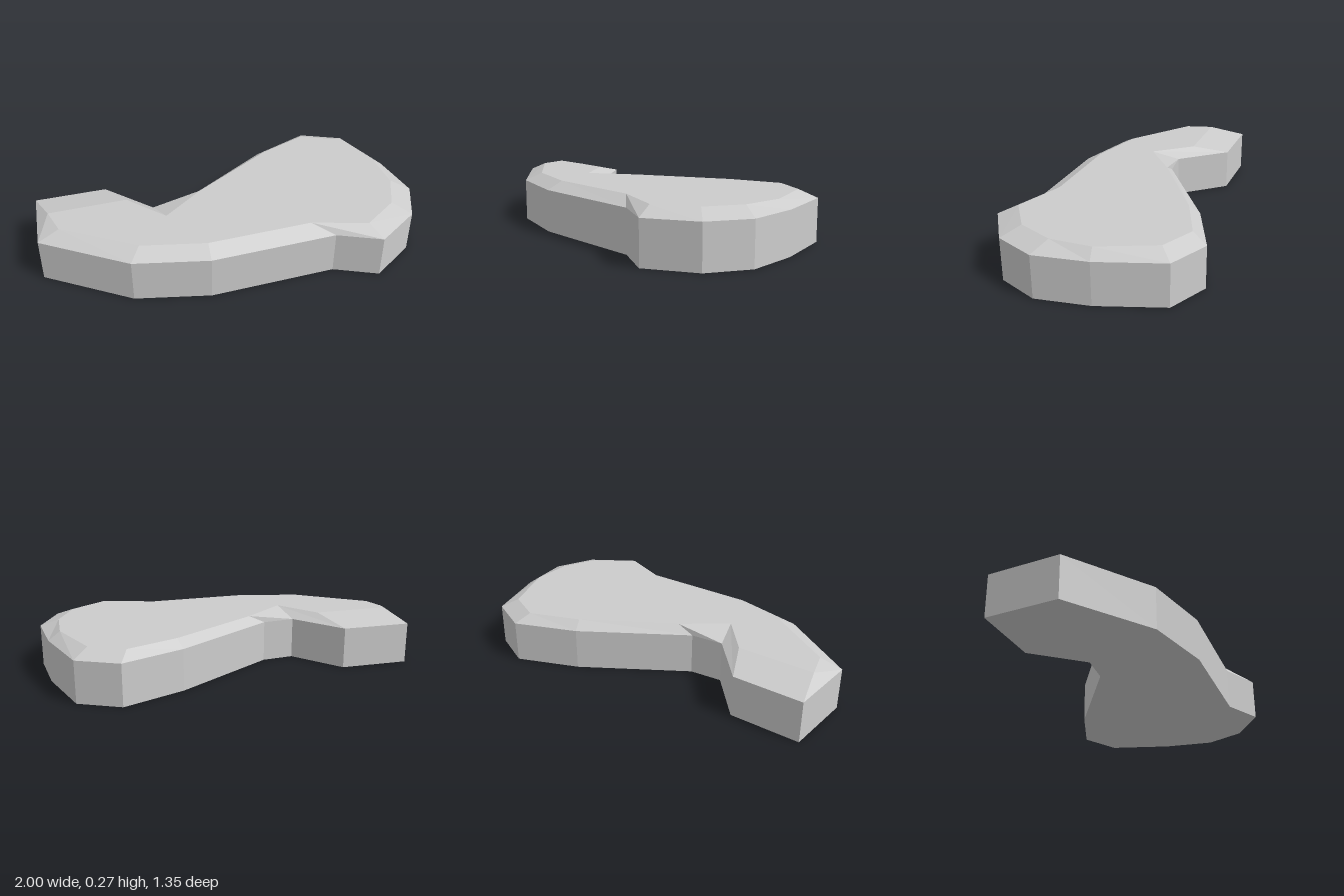
import * as THREE from 'three';

// Each row: outer edge x, z and the matching inset top edge x, z
const outline = [
  [-1, 0.23, -0.87, 0.39], [-0.66, 0.07, -0.50, 0.21], [-0.36, 0.20, -0.26, 0.32],
  [-0.21, 0.11, -0.13, 0.07], [0.13, -0.42, 0.17, -0.38], [0.37, -0.68, 0.37, -0.59],
  [0.61, -0.68, 0.57, -0.59], [0.85, -0.42, 0.80, -0.38], [1, -0.18, 0.89, -0.18],
  [1, 0.06, 0.89, 0.03], [0.85, 0.30, 0.77, 0.23], [0.61, 0.30, 0.48, 0.27],
  [0.02, 0.59, -0.01, 0.51], [-0.36, 0.67, -0.34, 0.58], [-0.86, 0.58, -0.77, 0.51],
];

export function createModel() {
  const n = outline.length;
  const rings = [
    outline.map(([x, z]) => [x, 0, z]),
    outline.map(([x, z]) => [x, 0.225, z]),
    outline.map(([, , x, z]) => [x, 0.268, z]),
  ];
  const index = [];

  // Upright wall, then sloping bevel
  for (let r = 0; r < 2; r++) {
    for (let i = 0; i < n; i++) {
      const a = r * n + i, b = r * n + (i + 1) % n;
      index.push(a, a + n, b + n, a, b + n, b);
    }
  }

  // Flat caps on the bottom and top rings
  const cap = (r, up) => {
    const contour = rings[r].map(([x, , z]) => new THREE.Vector2(x, -z)).reverse();
    for (const face of THREE.ShapeUtils.triangulateShape(contour, [])) {
      const [a, b, c] = face.map((k) => r * n + n - 1 - k);
      index.push(...(up ? [a, b, c] : [a, c, b]));
    }
  };
  cap(0, false);
  cap(2, true);

  const indexed = new THREE.BufferGeometry();
  indexed.setAttribute('position', new THREE.Float32BufferAttribute(rings.flat(2), 3));
  indexed.setIndex(index);
  const geometry = indexed.toNonIndexed();
  geometry.computeVertexNormals();

  const slab = new THREE.Mesh(geometry, new THREE.MeshStandardMaterial({ color: 0xcccccc, flatShading: true }));
  slab.name = 'bevelledSlab';
  const group = new THREE.Group();
  group.name = 'curvedSlab';
  group.add(slab);
  return group;
}
